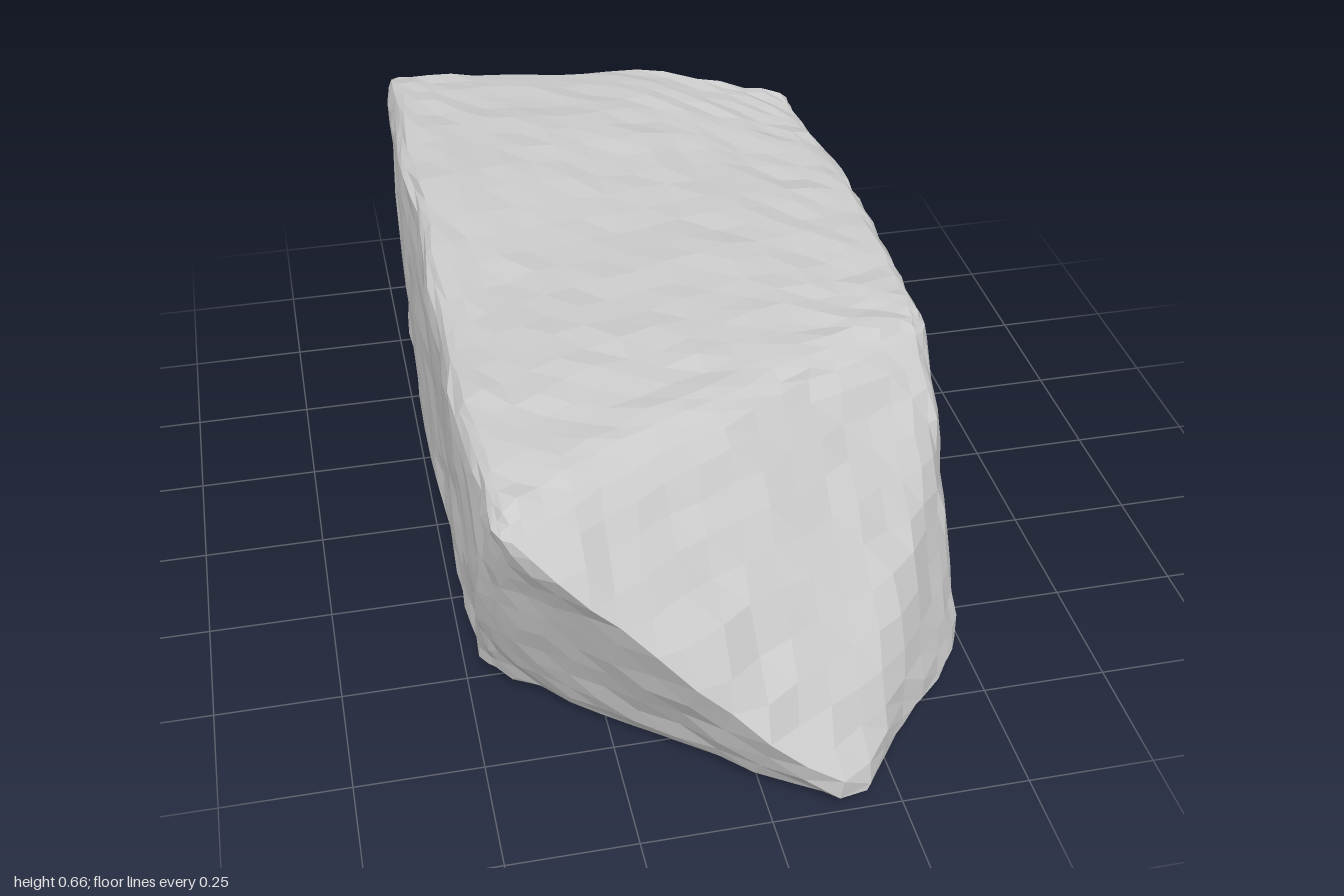
import * as THREE from 'three';
import { mergeVertices } from 'three/addons/utils/BufferGeometryUtils.js';

const { lerp, clamp } = THREE.MathUtils;

// Hollowed back end: depth on rows of height and columns of width
const ROWS = [0.03, 0.2, 0.42, 0.62];
const COLS = [-0.46, -0.3, -0.1, 0.1, 0.3, 0.46];
const BACK = [
  [-0.87, -0.84, -0.84, -0.83, -0.79, -0.67],
  [-0.89, -0.77, -0.82, -0.92, -0.87, -0.71],
  [-0.94, -0.79, -0.83, -0.95, -0.88, -0.72],
  [-1.03, -0.98, -0.92, -0.90, -0.80, -0.70],
];

// Index and fraction of v within a rising list
function locate(list, v) {
  let i = 0;
  while (i < list.length - 2 && v > list[i + 1]) i++;
  return [i, clamp((v - list[i]) / (list[i + 1] - list[i]), 0, 1)];
}

function backDepth(x, y) {
  const [i, fx] = locate(COLS, x);
  const [j, fy] = locate(ROWS, y);
  const row = (k) => lerp(BACK[k][i], BACK[k][i + 1], fx);
  return lerp(row(j), row(j + 1), fy);
}

// Front end: three cleaved planes meeting in a diagonal ridge and a blunt tip
function frontDepth(x, y) {
  const undercut = 0.52 + 0.8 * (x + 0.46) + 0.526 * (y - 0.03);
  const slope = 0.34 - 0.52 * (x - 0.46) - 0.907 * (y - 0.62);
  const corner = 0.68 - 1.2 * (x - 0.46) - 0.5 * (y - 0.05);
  return Math.min(undercut, slope, corner, 1.02);
}

// Seeded generator for small irregularities
function seeded(seed) {
  return () => {
    seed = (seed * 16807) % 2147483647;
    return seed / 2147483647 - 0.5;
  };
}

function createStoneGeometry() {
  // Turned a quarter so the quad diagonals follow the front ridge
  let geo = new THREE.BoxGeometry(2, 2, 2, 13, 18, 24).rotateZ(Math.PI / 2);
  geo.deleteAttribute('normal');
  geo.deleteAttribute('uv');
  geo = mergeVertices(geo, 1e-3);

  const half = new THREE.Vector3(0.475, 0.312, 1);
  const radius = 0.05;
  const inner = half.clone().subScalar(radius);
  const lower = inner.clone().negate();
  const ease = (u) => u * (1.3 - 0.3 * u * u);
  const rand = seeded(4711);
  const pos = geo.attributes.position;
  const p = new THREE.Vector3();
  const core = new THREE.Vector3();

  for (let i = 0; i < pos.count; i++) {
    // Rounded block, with rows gathered towards the edges
    p.fromBufferAttribute(pos, i);
    p.set(ease(p.x), ease(p.y), ease(p.z)).multiply(half);
    core.copy(p).clamp(lower, inner);
    p.sub(core).setLength(radius).add(core);

    // Stretch between the two broken ends
    const x = p.x;
    const y = p.y + 0.33;
    const z = lerp(backDepth(x, y), frontDepth(x, y), (p.z + 1) / 2);

    // Sides bulge in the middle, the top dips towards both ends
    const bulge = 1.02 - 0.06 * z * z;
    const dip = y > 0.33 ? 0.035 * z ** 4 * (y - 0.33) / 0.3 : 0;

    // Gentle waves on the long sides plus fine chipping
    const wx = 0.006 * Math.sin(z * 5 + y * 4) + 0.004 * Math.sin(z * 13 + y * 9);
    const wy = 0.01 * Math.cos(x * 5 + 0.6) * Math.sign(p.y) + 0.005 * Math.sin(z * 8 + x * 6);
    const wz = 0.006 * Math.sin(x * 17 + y * 13);
    pos.setXYZ(
      i,
      x * bulge + wx + rand() * 0.01,
      y - dip + wy + rand() * 0.01,
      z + wz + rand() * 0.014
    );
  }

  // Stand on the ground, centred
  geo.computeBoundingBox();
  const mid = geo.boundingBox.getCenter(new THREE.Vector3());
  geo.translate(-mid.x, -geo.boundingBox.min.y, -mid.z);
  geo.computeVertexNormals();
  return geo;
}

export function createModel() {
  const group = new THREE.Group();
  group.name = 'brokenStoneBlock';
  const material = new THREE.MeshStandardMaterial({ color: 0xcccccc, flatShading: true });
  const stone = new THREE.Mesh(createStoneGeometry(), material);
  stone.name = 'stone';
  group.add(stone);
  return group;
}
